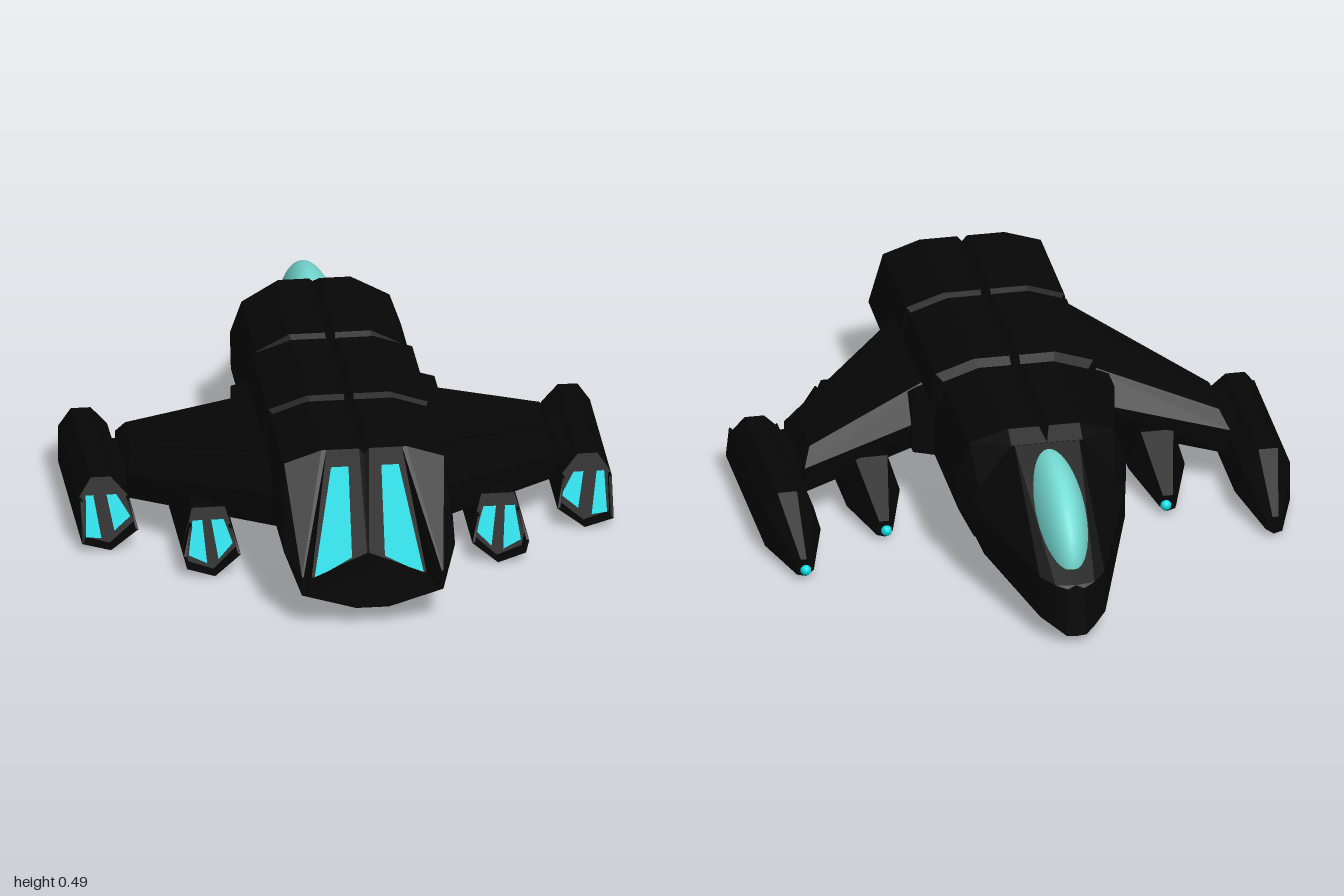
import * as THREE from 'three';
import { ConvexGeometry } from 'three/addons/geometries/ConvexGeometry.js';

const black = new THREE.MeshStandardMaterial({ color: 0x060606 });
black.name = 'hullBlack';
const cyan = new THREE.MeshStandardMaterial({ color: 0x08dee7 });
cyan.name = 'engineCyan';
const glass = new THREE.MeshStandardMaterial({ color: 0x76dcd5 });
glass.name = 'canopyAqua';

export function createModel() {
  const ship = new THREE.Group();
  ship.name = 'starfighter';

  const add = (name, geometry, material) => {
    const mesh = new THREE.Mesh(geometry, material);
    mesh.name = name;
    ship.add(mesh);
    return mesh;
  };

  // Faceted convex part, made once for each side
  const pair = (name, points) => {
    for (const s of [1, -1]) {
      const v = points.map(([x, y, z]) => new THREE.Vector3(s * x, y, z));
      add((s > 0 ? 'left' : 'right') + name, new ConvexGeometry(v), black);
    }
  };

  // Place a half cross-section at z, optionally shrunk toward the hull axis
  const at = (section, z, k = 1) =>
    section.map(([x, y]) => [x * k, 0.25 + (y - 0.25) * k, z]);

  // Flat glowing panel laid on a sloping rear face, both sides
  const panel = (name, corners, depth) => {
    for (const s of [1, -1]) {
      const pts = corners.map(([x, y]) => new THREE.Vector2(s * x, y));
      const g = new THREE.ShapeGeometry(new THREE.Shape(pts));
      const p = g.attributes.position;
      for (let i = 0; i < p.count; i++) p.setZ(i, depth(p.getY(i)) + 0.004);
      g.computeVertexNormals();
      add((s > 0 ? 'left' : 'right') + name, g, cyan);
    }
  };

  // Fuselage cross-sections (half, from the top groove round to the keel)
  const rear = [[0, 0.47], [0.015, 0.488], [0.13, 0.488], [0.243, 0.45], [0.26, 0.38],
    [0.26, 0.22], [0.22, 0.17], [0.22, 0.11], [0.05, 0.045], [0, 0.045]];
  const middle = [[0, 0.475], [0.015, 0.49], [0.125, 0.49], [0.243, 0.45], [0.262, 0.38],
    [0.257, 0.21], [0.215, 0.11], [0.05, 0.04], [0, 0.04]];
  const front = [[0, 0.465], [0.015, 0.482], [0.125, 0.482], [0.225, 0.43], [0.26, 0.33],
    [0.257, 0.21], [0.21, 0.115], [0.05, 0.06], [0, 0.06]];

  // Rear hull: its back face is the sunken engine wall
  const wall = (y) => 0.78 + (0.49 - y) * 0.353;
  pair('RearHull', [...at(rear, 0.39, 0.92), ...at(rear, 0.42), ...at(rear, 0.78),
    [0, 0.11, wall(0.11)], [0.21, 0.11, wall(0.11)], [0.05, 0.055, 0.91], [0, 0.055, 0.91]]);
  pair('EngineCheek', [[0.115, 0.488, 0.78], [0.13, 0.488, 0.78], [0.243, 0.45, 0.78],
    [0.26, 0.38, 0.78], [0.26, 0.22, 0.78], [0.26, 0.22, 0.92], [0.172, 0.12, 0.9],
    [0.21, 0.17, 1], [0.215, 0.17, 1], [0.215, 0.11, 1], [0.205, 0.11, 1], [0.22, 0.11, 0.9]]);
  pair('EngineSill', [[0.88, 0.05], [1, 0.06]].flatMap(([z, keel]) =>
    [[0, 0.19, z], [0.215, 0.11, z], [0.05, keel, z], [0, keel, z]]));
  panel('MainEngineGlow', [[0.05, 0.44], [0.05, 0.18], [0.167, 0.122], [0.103, 0.44]], wall);

  // Middle and front hull with bevelled ends
  pair('MiddleHull', [...at(middle, -0.055, 0.92), ...at(middle, -0.03),
    ...at(middle, 0.38), ...at(middle, 0.41, 0.92)]);
  pair('RootFlange', [[0.2, 0.37, -0.06], [0.2, 0.18, -0.06], [0.31, 0.35, -0.025],
    [0.31, 0.19, -0.025], [0.31, 0.35, 0.06], [0.31, 0.19, 0.06], [0.22, 0.38, 0.3], [0.22, 0.18, 0.3]]);
  pair('FrontHull', [...at(front, -0.04, 0.84), ...at(front, -0.09),
    ...at(front, -0.46), [0, 0.465, -0.49], [0.015, 0.482, -0.49], [0.11, 0.482, -0.49],
    [0.11, 0.45, -0.54], [0, 0.45, -0.54], [0.21, 0.32, -0.54], [0.21, 0.2, -0.54],
    [0.17, 0.11, -0.54], [0, 0.07, -0.54]]);

  // Wedge nose with a shallow V keel
  pair('Nose', [[0, 0.455, -0.53], [0.1, 0.455, -0.53], [0.21, 0.3, -0.53], [0.21, 0.18, -0.53],
    [0.15, 0.09, -0.52], [0, 0.06, -0.52], [0.235, 0.28, -0.565], [0.235, 0.19, -0.565],
    [0.2, 0.11, -0.575], [0.045, 0.028, -0.575], [0, 0.02, -0.575],
    [0.1, 0.2, -0.93], [0.1, 0.07, -0.94], [0.06, 0.19, -0.975], [0.06, 0.05, -0.985],
    [0, 0.19, -0.985], [0.025, 0.18, -0.99], [0.03, 0.028, -1], [0, 0.025, -1]]);

  // Canopy dome rising out of the sloping nose
  const canopy = add('canopy',
    new THREE.SphereGeometry(1, 40, 20, 0, Math.PI * 2, 0, Math.PI / 2), glass);
  canopy.scale.set(0.097, 0.222, 0.32);
  canopy.position.set(0, 0.22, -0.62);

  // Forward-swept wings
  pair('Wing', [[0.2, 0.39, 0.1], [0.2, 0.39, 0.57], [0.2, 0.29, 0.03], [0.2, 0.185, 0.08],
    [0.2, 0.3, 0.7], [0.2, 0.185, 0.68], [0.63, 0.245, -0.03], [0.63, 0.245, 0.16],
    [0.655, 0.195, -0.08], [0.655, 0.195, 0.24], [0.655, 0.11, -0.07], [0.655, 0.11, 0.22]]);
  // Raised rib along the rear of each wing
  pair('WingRib', [[0.22, 0.39, 0.51], [0.22, 0.39, 0.55], [0.62, 0.252, 0.12], [0.62, 0.252, 0.16],
    [0.22, 0.35, 0.51], [0.22, 0.35, 0.55], [0.62, 0.21, 0.12], [0.62, 0.21, 0.16]]);
  pair('PodStrut', [-0.04, 0.2].flatMap((z) =>
    [[0.62, 0.19, z], [0.72, 0.19, z], [0.62, 0.11, z], [0.72, 0.09, z]]));

  // Engine pods: section, tapered nose, sunken sloping rear wall and a lip round it
  const pod = (name, section, cx, noseZ, shoulderZ, endZ, stripes) => {
    const slope = (y) => endZ - 0.03 - y * 0.33;
    const rim = (y) => (y > 0.1 ? slope(y) + 0.03 : endZ);
    pair(name, [
      ...section.map(([x, y]) => [cx + (x - cx) * 0.3, 0.012 + (y - 0.005) * 0.28, noseZ]),
      ...section.map(([x, y]) => [x, y, shoulderZ]),
      ...section.map(([x, y]) => [x, y, slope(y)])]);
    for (let i = 0; i < section.length; i++) {
      const edge = [section[i], section[(i + 1) % section.length]];
      if (edge.some(([, y]) => y > 0.16)) continue;
      pair(name + 'Lip', edge.flatMap(([x, y]) => {
        const ix = cx + (x - cx) * 0.9, iy = 0.1 + (y - 0.1) * 0.9;
        return [[x, y, endZ - 0.1], [x, y, rim(y)], [ix, iy, endZ - 0.1], [ix, iy, rim(y)]];
      }));
    }
    stripes.forEach((s) => panel(name + 'Glow', s, slope));
  };
  pod('OuterPod', [[0.77, 0.205], [0.71, 0.205], [0.66, 0.15], [0.637, 0.07], [0.72, 0.005],
    [0.808, 0.03], [0.808, 0.15]], 0.72, -0.425, -0.24, 0.37, [
    [[0.695, 0.155], [0.655, 0.09], [0.705, 0.05], [0.725, 0.155]],
    [[0.765, 0.155], [0.745, 0.03], [0.792, 0.035], [0.788, 0.155]]]);
  pod('InnerPod', [[0.49, 0.19], [0.39, 0.19], [0.375, 0.14], [0.352, 0.07], [0.43, 0.002],
    [0.515, 0.03], [0.525, 0.07], [0.5, 0.15]], 0.435, -0.215, -0.03, 0.59, [
    [[0.395, 0.155], [0.37, 0.085], [0.415, 0.04], [0.433, 0.155]],
    [[0.46, 0.155], [0.45, 0.03], [0.505, 0.055], [0.49, 0.155]]]);

  // Gun lights on the pod tips
  for (const [x, z] of [[0.72, -0.425], [0.43, -0.215], [-0.43, -0.215]]) {
    add('gunLight', new THREE.SphereGeometry(0.017, 12, 8), cyan).position.set(x, 0.032, z);
  }

  return ship;
}
